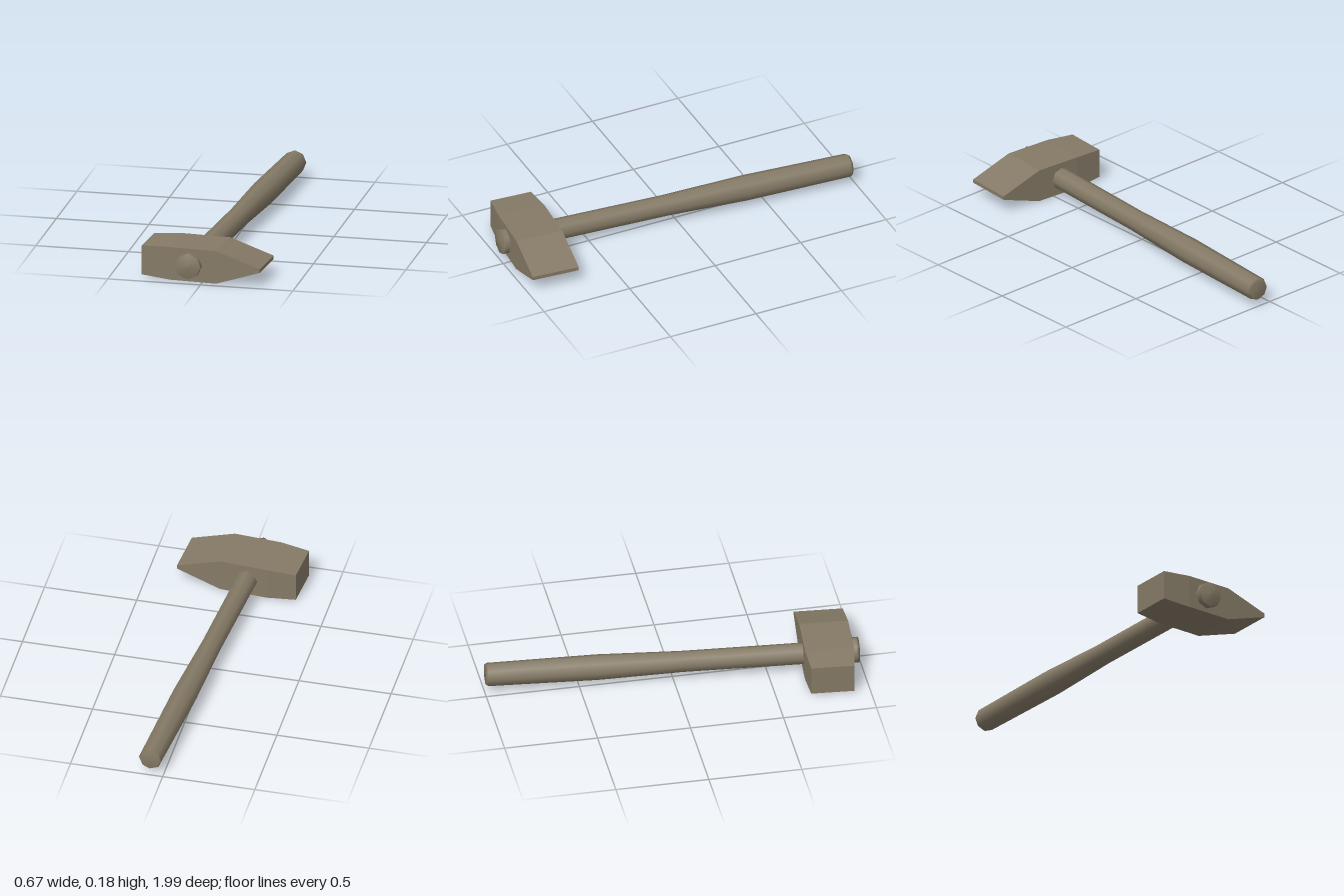
import * as THREE from 'three';

// Steel head: a loft of rectangular sections along x, flat shaded
function loftBox(sections) {
  const pos = [];
  const quad = (a, b, c, d) => pos.push(...a, ...b, ...c, ...a, ...c, ...d);
  const rings = sections.map(([x, y0, y1, z0, z1]) => [
    [x, y0, z0], [x, y1, z0], [x, y1, z1], [x, y0, z1],
  ]);
  for (let i = 0; i < rings.length - 1; i++) {
    const p = rings[i], q = rings[i + 1];
    for (let k = 0; k < 4; k++) {
      const n = (k + 1) % 4;
      quad(p[k], p[n], q[n], q[k]);
    }
  }
  const s = rings[0], e = rings[rings.length - 1];
  quad(s[3], s[2], s[1], s[0]);
  quad(e[0], e[1], e[2], e[3]);
  const g = new THREE.BufferGeometry();
  g.setAttribute('position', new THREE.Float32BufferAttribute(pos, 3));
  g.computeVertexNormals();
  return g;
}

export function createModel() {
  const material = new THREE.MeshStandardMaterial({ color: 0x857a66 });
  material.name = 'greyBrown';
  const group = new THREE.Group();
  group.name = 'hammer';

  // Eight-sided handle with a swelling grip and softly shaded ends
  const profile = [
    [0, -0.996], [0.055, -0.995], [0.063, -0.982], [0.069, -0.4], [0.057, 0.05],
    [0.058, 0.69], [0.069, 0.975], [0.069, 0.99], [0, 0.997],
  ].map(([r, y]) => new THREE.Vector2(r, y));
  const handle = new THREE.Mesh(new THREE.LatheGeometry(profile, 8), material);
  handle.name = 'handle';
  handle.rotation.x = Math.PI / 2;
  handle.position.y = 0.091;
  group.add(handle);

  // Head: striking face, body, and wedge-shaped peen (x, y0, y1, z0, z1)
  const head = new THREE.Mesh(loftBox([
    [-0.268, 0.011, 0.17, 0.706, 0.937],
    [-0.11, 0, 0.18, 0.692, 0.952],
    [0.147, 0, 0.18, 0.692, 0.952],
    [0.386, 0.08, 0.1, 0.692, 0.952],
  ]), material);
  head.name = 'head';
  group.add(head);

  // The whole tool lies slightly turned on the ground
  group.rotation.y = -0.0733;
  const model = new THREE.Group();
  model.name = 'model';
  model.add(group);
  return model;
}
